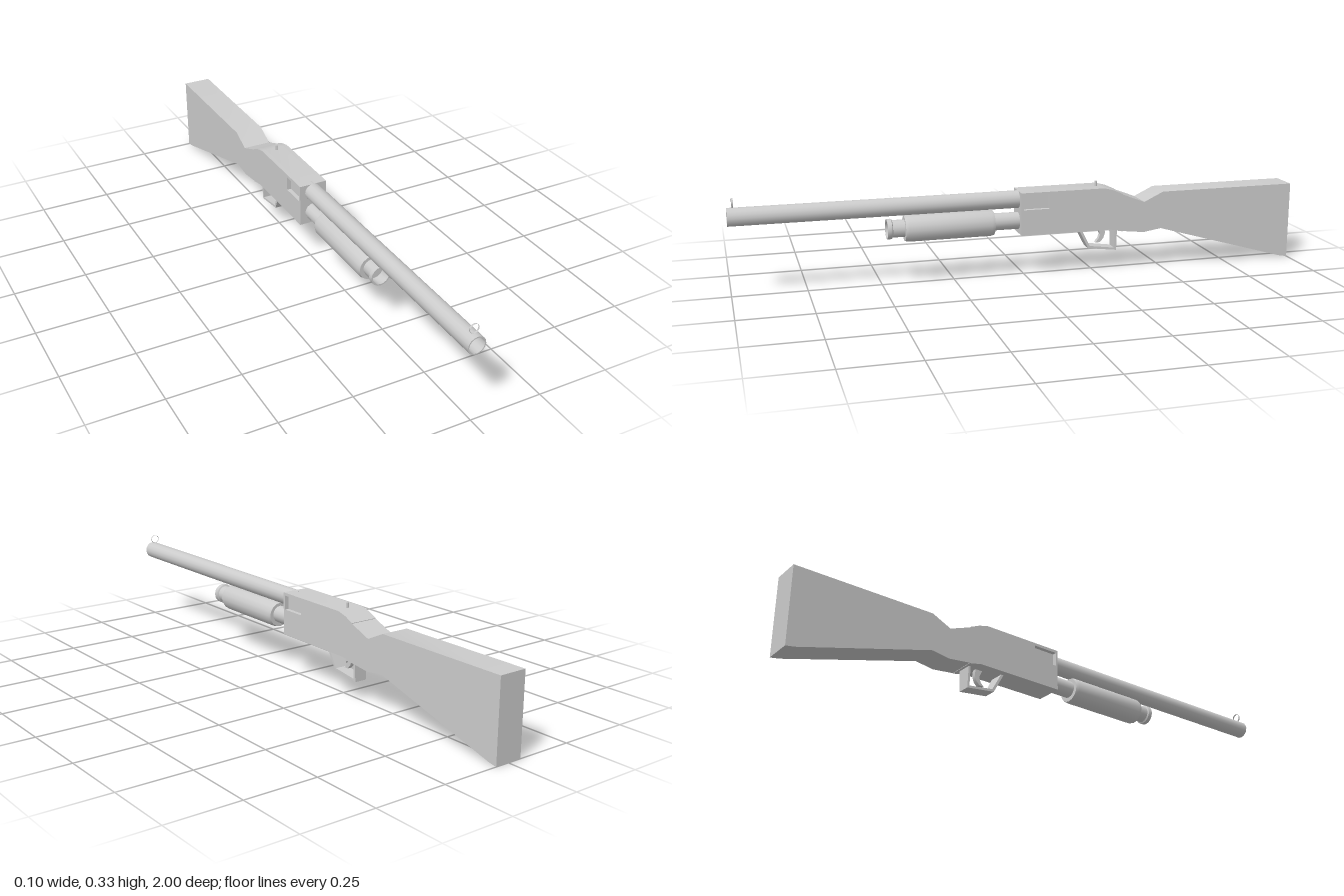
import * as THREE from 'three';
import { toCreasedNormals } from 'three/addons/utils/BufferGeometryUtils.js';

const material = new THREE.MeshStandardMaterial({ color: 0xcccccc, side: THREE.DoubleSide });

export function createModel() {
  const model = new THREE.Group();

  function add(name, geometry, crease = 0.6) {
    const mesh = new THREE.Mesh(toCreasedNormals(geometry, crease), material);
    mesh.name = name;
    model.add(mesh);
    return mesh;
  }

  const outline = (pts) => pts.map(([z, y]) => new THREE.Vector2(z, y));

  // Side profile given as (z, y), extruded across x around centre cx
  function slab(name, pts, width, cx = 0, hole = null) {
    const shape = new THREE.Shape(outline(pts));
    if (hole) shape.holes.push(new THREE.Path(outline(hole)));
    const geometry = new THREE.ExtrudeGeometry(shape, { depth: width, bevelEnabled: false });
    geometry.translate(0, 0, -width / 2).rotateY(-Math.PI / 2).translate(cx, 0, 0);
    return add(name, geometry);
  }

  // Round part along z from (radius, z) points
  function turned(name, pts, y, sides = 16) {
    const geometry = new THREE.LatheGeometry(outline(pts), sides);
    geometry.rotateX(Math.PI / 2).translate(0, y, 0);
    return add(name, geometry);
  }

  // Receiver: core plus side plates with a shallow port in each
  const receiver = [
    [0.02, 0.15], [0.02, 0.3], [-0.28, 0.3], [-0.315, 0.291], [-0.35, 0.275],
    [-0.35, 0.14], [-0.305, 0.15],
  ];
  const port = [[0.012, 0.24], [0.012, 0.29], [-0.08, 0.29], [-0.08, 0.24]];
  slab('receiverCore', receiver, 0.07);
  for (const side of [-1, 1]) slab('receiverSidePlate', receiver, 0.015, side * 0.0425, port);

  // Grip and stock
  slab('gripAndStock', [
    [-0.345, 0.142], [-0.345, 0.275], [-0.43, 0.242], [-0.5, 0.275],
    [-1, 0.275], [-1, 0], [-0.97, 0.005], [-0.495, 0.142], [-0.43, 0.132],
  ], 0.1);

  // Hollow barrel
  turned('barrel', [
    [0, 0.0], [0.031, 0.0], [0.031, 1], [0.027, 1], [0.027, 0.1], [0, 0.1],
  ], 0.27);

  // Magazine tube with flanged open end
  turned('magazineTube', [
    [0, 0], [0.03, 0], [0.03, 0.462], [0.035, 0.465], [0.035, 0.48],
    [0.03, 0.48], [0.03, 0.44], [0, 0.44],
  ], 0.194);

  // Sliding fore-end
  turned('foreEnd', [
    [0, 0.11], [0.043, 0.11], [0.046, 0.122], [0.046, 0.408], [0.043, 0.42], [0, 0.42],
  ], 0.192);

  // Front ring sight
  const ring = new THREE.CylinderGeometry(0.016, 0.016, 0.006, 16, 1, true);
  add('frontRingSight', ring.rotateX(Math.PI / 2).translate(0, 0.317, 0.98));

  // Rear bead sight
  add('rearSight', new THREE.CylinderGeometry(0.005, 0.005, 0.02, 8).translate(0, 0.308, -0.265));

  // Trigger guard strap, narrowing towards the bottom
  const guard = slab('triggerGuard', [
    [-0.195, 0.152], [-0.232, 0.08], [-0.338, 0.066], [-0.338, 0.148],
    [-0.33, 0.148], [-0.33, 0.075], [-0.238, 0.088], [-0.205, 0.152],
  ], 0.054);
  const pos = guard.geometry.attributes.position;
  for (let i = 0; i < pos.count; i++) {
    pos.setX(i, pos.getX(i) * (0.82 + 0.18 * (pos.getY(i) - 0.066) / 0.086));
  }

  // Curved trigger
  slab('trigger', [
    [-0.27, 0.152], [-0.282, 0.125], [-0.276, 0.108], [-0.264, 0.095],
    [-0.28, 0.095], [-0.293, 0.108], [-0.3, 0.128], [-0.297, 0.152],
  ], 0.016);

  return model;
}
